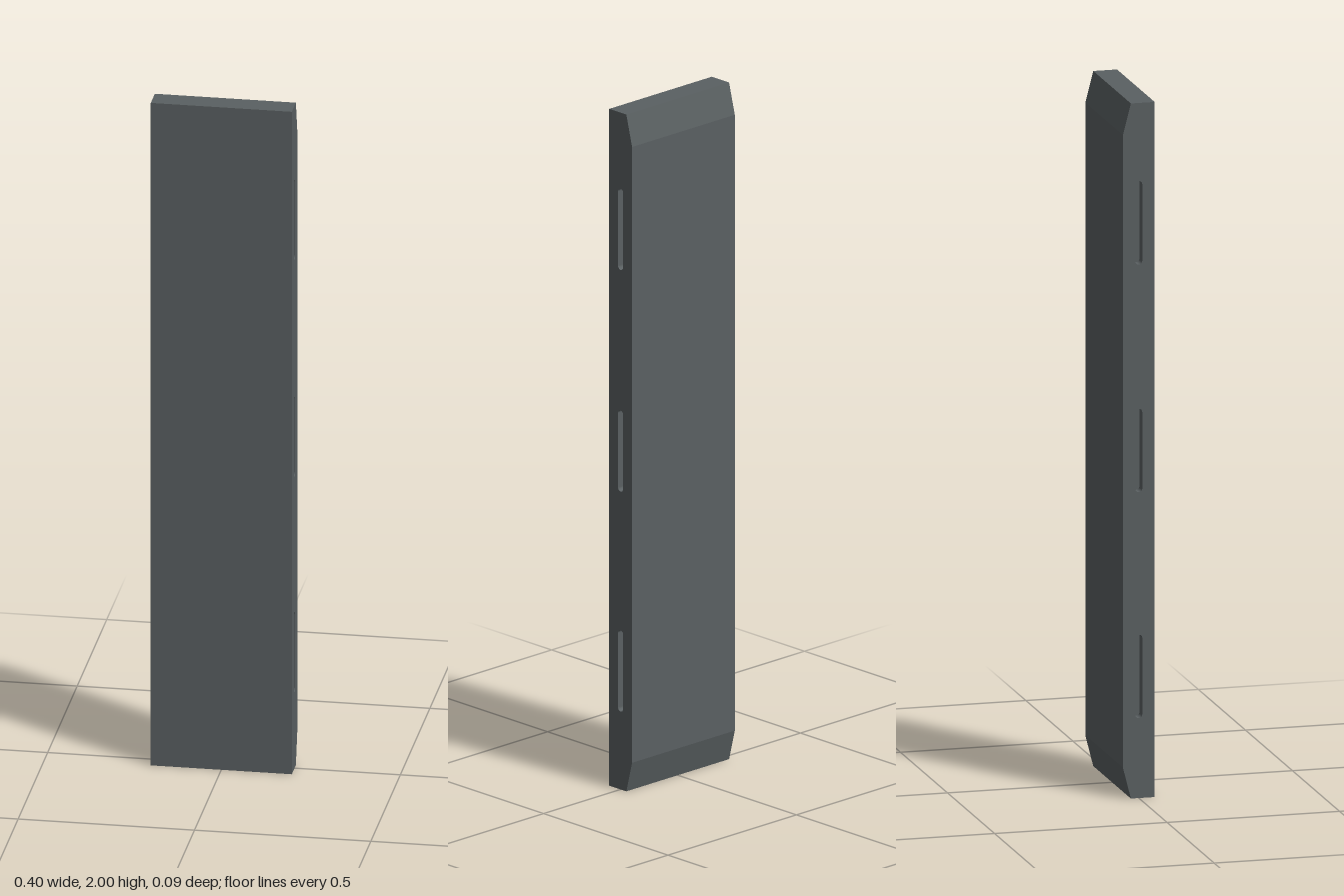
import * as THREE from 'three';

const HALF_W = 0.2, HEIGHT = 2, HALF_T = 0.046;
const BEVEL_H = 0.09, BEVEL_Z = -0.023;
const SLOT_R = 0.01, SLOT_L = 0.24, SLOT_DEPTH = 0.03;
const SLOT_Y = [0.35, 1.0, 1.655];

// Side outline of the panel; shape x is -z, so the bevels lie at the back
function outline() {
  return new THREE.Shape([
    [-HALF_T, 0], [-BEVEL_Z, 0], [HALF_T, BEVEL_H],
    [HALF_T, HEIGHT - BEVEL_H], [-BEVEL_Z, HEIGHT], [-HALF_T, HEIGHT],
  ].map(([x, y]) => new THREE.Vector2(x, y)));
}

// Narrow upright slot with round ends
function slot(y) {
  const h = SLOT_L / 2 - SLOT_R;
  const path = new THREE.Path();
  path.absarc(0, y + h, SLOT_R, 0, Math.PI, false);
  path.absarc(0, y - h, SLOT_R, Math.PI, 2 * Math.PI, false);
  path.closePath();
  return path;
}

// Extrudes an outline along x from x0 to x1
function extrudeX(shape, x0, x1) {
  const geo = new THREE.ExtrudeGeometry(shape, { depth: x1 - x0, bevelEnabled: false, curveSegments: 8 });
  return geo.rotateY(Math.PI / 2).translate(x0, 0, 0);
}

export function createModel() {
  const group = new THREE.Group();
  group.name = 'panel';
  const material = new THREE.MeshStandardMaterial({ color: 0x5a6062 });
  const add = (name, geo) => {
    const mesh = new THREE.Mesh(geo, material);
    mesh.name = name;
    group.add(mesh);
  };

  // Solid middle, whose ends form the slot floors
  const inner = HALF_W - SLOT_DEPTH;
  add('panelCore', extrudeX(outline(), -inner, inner));

  // Slotted edge on each side
  const edge = outline();
  edge.holes = SLOT_Y.map(slot);
  add('leftSlottedEdge', extrudeX(edge, inner, HALF_W));
  add('rightSlottedEdge', extrudeX(edge, -HALF_W, -inner));

  return group;
}
